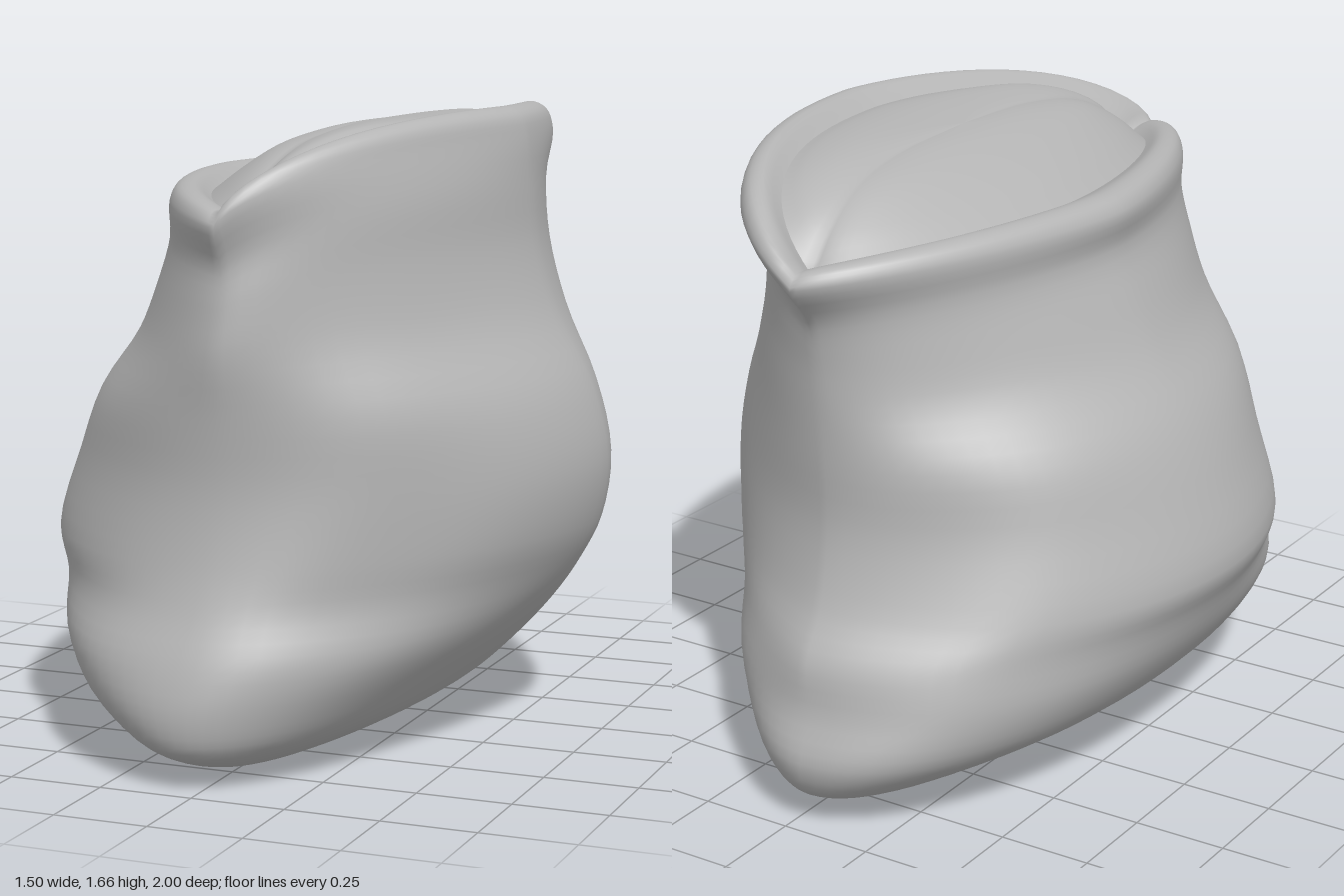
import * as THREE from 'three';

const SIDES = 80;

// Roundness of each quarter: [right front, left front, left back, right back] in +x / -x order
const LOW = [2.0, 2.1, 2.2, 1.9];
const MID = [1.75, 1.9, 2.0, 1.55];
const NECK = [1.6, 1.7, 1.75, 1.65];
const RIM = [1.42, 1.55, 1.6, 1.85];
const MOUTH = [1.5, 1.75, 1.75, 1.9];
const ROUND = [2, 2, 2, 2];

// Rows: [yLeft(-x), yRight(+x), yTip, xMin, xMax, zFront, zBack, xTip, roundness]
// The last rows roll over the rim and inward to the mouth
const sackRows = [
  [0.00, 0.00, 0.005, 0.00, 0.00, 0.45, -0.45, 0.00, LOW],
  [0.012, 0.012, 0.02, -0.13, 0.13, 0.70, -0.70, 0.00, LOW],
  [0.05, 0.05, 0.05, -0.28, 0.25, 0.89, -0.89, -0.02, LOW],
  [0.11, 0.11, 0.10, -0.42, 0.36, 0.98, -0.97, -0.04, LOW],
  [0.20, 0.20, 0.19, -0.57, 0.46, 1.00, -1.00, -0.05, LOW],
  [0.32, 0.32, 0.31, -0.66, 0.57, 0.975, -0.955, -0.05, LOW],
  [0.44, 0.45, 0.44, -0.71, 0.67, 0.92, -0.93, -0.03, MID],
  [0.54, 0.57, 0.56, -0.75, 0.73, 0.885, -0.85, -0.02, MID],
  [0.74, 0.74, 0.74, -0.69, 0.755, 0.86, -0.79, 0.00, MID],
  [0.92, 0.93, 0.92, -0.61, 0.71, 0.87, -0.785, 0.01, MID],
  [1.08, 1.12, 1.08, -0.50, 0.61, 0.89, -0.785, 0.02, NECK],
  [1.22, 1.30, 1.20, -0.43, 0.555, 0.88, -0.79, 0.03, NECK],
  [1.35, 1.46, 1.30, -0.38, 0.54, 0.87, -0.81, 0.03, NECK],
  [1.44, 1.58, 1.40, -0.395, 0.53, 0.91, -0.885, 0.03, RIM],
  [1.48, 1.64, 1.435, -0.37, 0.51, 0.885, -0.865, 0.03, RIM],
  [1.49, 1.66, 1.435, -0.32, 0.46, 0.84, -0.82, 0.04, RIM],
  [1.46, 1.62, 1.415, -0.25, 0.39, 0.77, -0.77, 0.05, MOUTH],
];

// Bulging surface that fills the mouth
const fillRows = [
  [1.46, 1.62, 1.415, -0.25, 0.39, 0.77, -0.77, 0.05, MOUTH],
  [1.51, 1.63, 1.50, -0.18, 0.35, 0.68, -0.68, 0.06, MOUTH],
  [1.57, 1.635, 1.57, -0.07, 0.28, 0.54, -0.54, 0.08, ROUND],
  [1.605, 1.63, 1.605, 0.02, 0.19, 0.32, -0.32, 0.10, ROUND],
  [1.618, 1.618, 1.618, 0.10, 0.10, 0.00, 0.00, 0.10, ROUND],
];

function rowPoint(row, angle) {
  const [yl, yr, yt, x0, x1, zf, zb, xt, quarters] = row;
  const c = Math.cos(angle), s = Math.sin(angle);
  const n = quarters[s >= 0 ? (c >= 0 ? 0 : 1) : (c < 0 ? 2 : 3)];
  const bend = (v) => Math.sign(v) * Math.abs(v) ** (2 / n);
  const x = xt + bend(c) * (c > 0 ? x1 - xt : xt - x0);
  const z = bend(s) * (s > 0 ? zf : -zb);
  const rise = 1 - (1 - Math.abs(c)) ** 1.6;
  return new THREE.Vector3(x, yt + ((c > 0 ? yr : yl) - yt) * rise, z);
}

// Soft fabric folds, strongest near the front and back seams
function fold(p, angle) {
  const seam = Math.abs(Math.sin(angle)) ** 3;
  const height = Math.sin(Math.PI * THREE.MathUtils.clamp((p.y - 0.1) / 1.25, 0, 1));
  const d = 0.007 * seam * height * Math.sin(angle * 9 + p.y * 6);
  p.x *= 1 + d * 2;
  p.z *= 1 + d;
}

// Loft a smooth skin through closed rows
function loft(rows, steps, folds) {
  const positions = [], index = [];
  const count = (rows.length - 1) * steps + 1;
  for (let j = 0; j < SIDES; j++) {
    const angle = (j / SIDES) * Math.PI * 2;
    const column = new THREE.CatmullRomCurve3(rows.map((r) => rowPoint(r, angle)));
    for (const p of column.getPoints(count - 1)) {
      if (folds) fold(p, angle);
      positions.push(p.x, p.y, p.z);
    }
  }
  for (let j = 0; j < SIDES; j++) {
    const here = j * count, next = ((j + 1) % SIDES) * count;
    for (let i = 0; i < count - 1; i++) {
      index.push(here + i, here + i + 1, next + i);
      index.push(here + i + 1, next + i + 1, next + i);
    }
  }
  const g = new THREE.BufferGeometry();
  g.setAttribute('position', new THREE.Float32BufferAttribute(positions, 3));
  g.setIndex(index);
  g.computeVertexNormals();
  return g;
}

export function createModel() {
  const group = new THREE.Group();
  group.name = 'sack';
  const cloth = new THREE.MeshStandardMaterial({ color: 0xb4b4b4, side: THREE.DoubleSide });
  cloth.name = 'grey cloth';

  const add = (name, geometry) => {
    const mesh = new THREE.Mesh(geometry, cloth);
    mesh.name = name;
    group.add(mesh);
  };
  add('sackBody', loft(sackRows, 4, true));
  add('mouthFilling', loft(fillRows, 4, false));
  return group;
}
